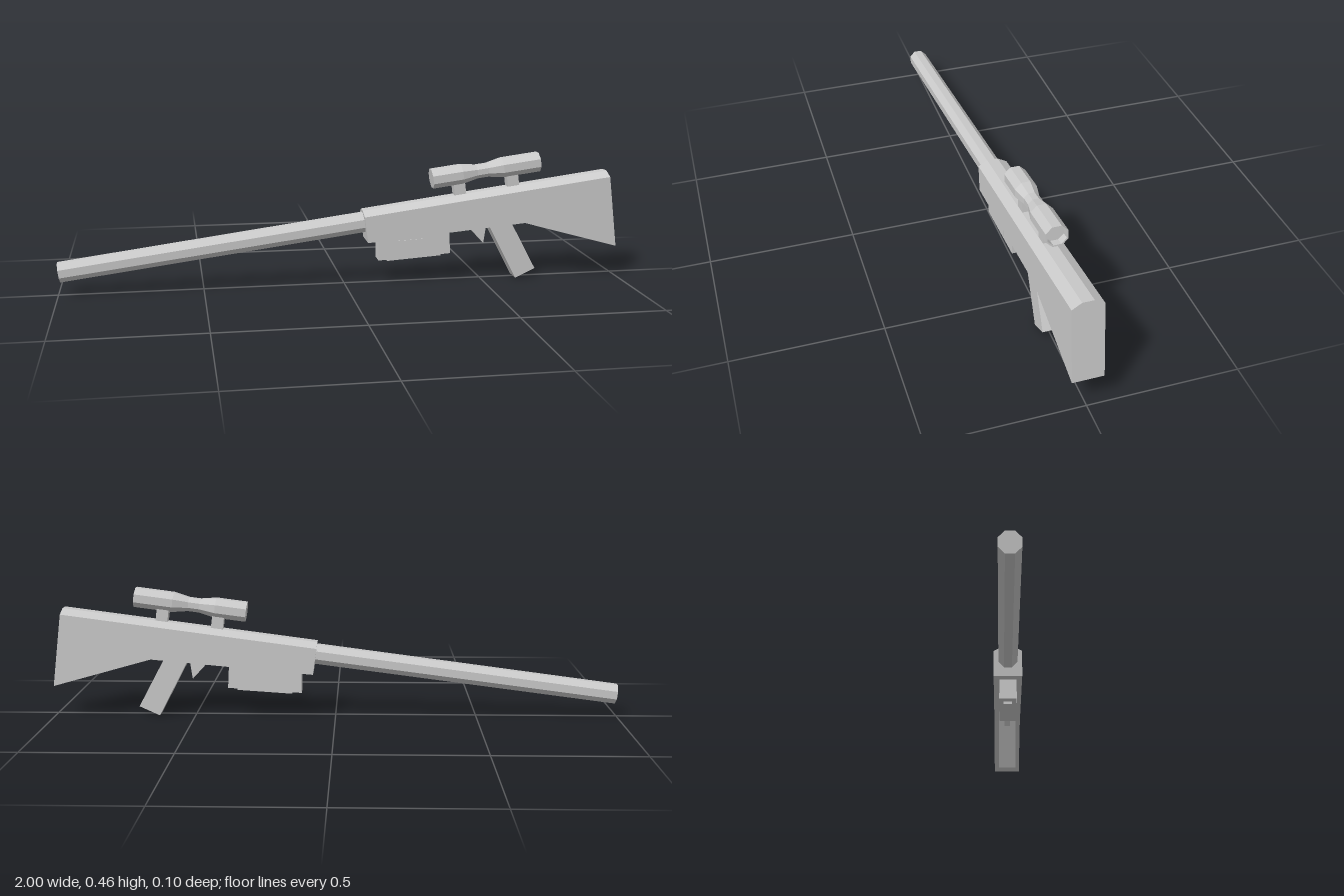
import * as THREE from 'three';

const mat = new THREE.MeshStandardMaterial({ color: 0xcccccc, flatShading: true });

function add(parent, name, geometry) {
  const mesh = new THREE.Mesh(geometry, mat);
  mesh.name = name;
  parent.add(mesh);
  return mesh;
}

// Side outline in x/y, extruded symmetrically across z
function slab(points, width) {
  const shape = new THREE.Shape(points.map(([x, y]) => new THREE.Vector2(x, y)));
  const g = new THREE.ExtrudeGeometry(shape, { depth: width, bevelEnabled: false });
  return g.translate(0, 0, -width / 2);
}

// Eight-sided tube along x from [apothem, x] pairs, flat side up
function octagon(profile) {
  const k = 1 / Math.cos(Math.PI / 8);
  const pts = profile.map(([r, x]) => new THREE.Vector2(r * k, x));
  return new THREE.LatheGeometry(pts, 8, Math.PI / 8).rotateZ(-Math.PI / 2);
}

function box(w, h, d, x, y, z = 0) {
  return new THREE.BoxGeometry(w, h, d).translate(x, y, z);
}

export function createModel() {
  const model = new THREE.Group();

  // Parts that follow the tilted barrel line
  const tilted = new THREE.Group();
  tilted.name = 'tiltedAssembly';
  tilted.rotation.z = Math.atan2(0.1305, 0.9914);
  model.add(tilted);

  // Receiver and stock, with a chamfered ridge along the top
  add(tilted, 'stock', slab([
    [0.0985, 0.144], [0.6735, 0.121], [1.0055, -0.0214], [1.0055, 0.238], [0.0985, 0.238],
  ], 0.103));
  const ridge = slab([[-0.0515, 0], [0.0515, 0], [0.019, 0.018], [-0.019, 0.018]], 0.907);
  add(tilted, 'stockRidge', ridge.rotateY(Math.PI / 2).translate(0.552, 0.238, 0));

  // Barrel
  add(tilted, 'barrel', octagon([
    [0, -0.976], [0.0335, -0.976], [0.0345, 0.13], [0, 0.13],
  ])).position.y = 0.211;

  // Scope with narrow waist and recessed eyepiece
  add(tilted, 'scope', octagon([
    [0, 0], [0.034, 0], [0.034, 0.11], [0.024, 0.165], [0.024, 0.205],
    [0.034, 0.26], [0.034, 0.397], [0.029, 0.397], [0.029, 0.37], [0, 0.37],
  ])).position.set(0.361, 0.327, 0.002);
  tilted.getObjectByName('scope').scale.z = 1.07;
  for (const x of [0.457, 0.654]) add(tilted, 'scopeMount', box(0.042, 0.065, 0.036, x, 0.274));

  // Magazine with floor plate and raised side panel
  add(model, 'magazine', slab([
    [0.12, 0.085], [0.382, 0.102], [0.376, 0.21], [0.12, 0.18],
  ], 0.062));
  add(model, 'magazineFloorPlate', slab([
    [0.155, 0.078], [0.35, 0.091], [0.35, 0.11], [0.155, 0.1],
  ], 0.03));
  add(model, 'magazineSidePanel', slab([
    [0.19, 0.097], [0.288, 0.103], [0.288, 0.16], [0.19, 0.155],
  ], 0.004)).position.z = 0.031;

  // Grip and trigger
  add(model, 'grip', slab([
    [0.628, 0], [0.7, 0.033], [0.597, 0.225], [0.518, 0.21],
  ], 0.066));
  add(model, 'trigger', slab([
    [0.462, 0.195], [0.466, 0.178], [0.51, 0.13], [0.52, 0.2],
  ], 0.022));

  return model;
}
